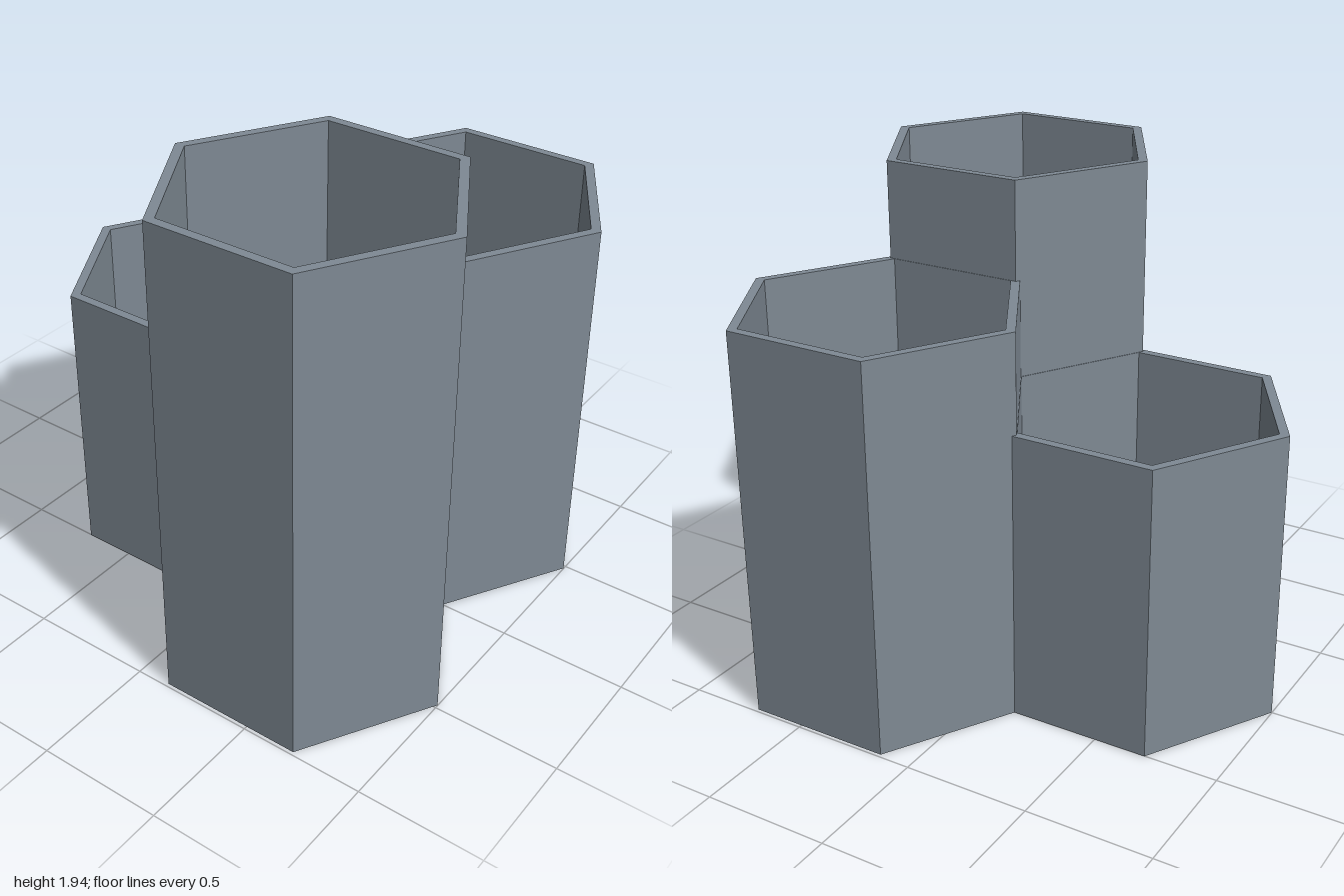
import * as THREE from 'three';

const RADIUS = 0.579; // corner radius of the outer hexagon
const INNER = 0.538;  // corner radius of the hollow
const FLOOR = 0.035;  // thickness of the base

export function createModel() {
  const group = new THREE.Group();
  group.name = 'hexagonalPenHolder';
  const slate = new THREE.MeshStandardMaterial({ color: 0x7f8a94, flatShading: true });
  slate.name = 'slate grey';

  // Open six-sided cup with a corner facing front and back
  function addCup(name, x, z, height) {
    const profile = [
      [0, 0], [RADIUS, 0], [RADIUS, height],
      [INNER, height], [INNER, FLOOR], [0, FLOOR],
    ].map(([r, y]) => new THREE.Vector2(r, y));
    const cup = new THREE.Mesh(new THREE.LatheGeometry(profile, 6), slate);
    cup.name = name;
    cup.position.set(x, 0, z);
    group.add(cup);
  }

  // Three cups of stepped height whose neighbouring walls overlap
  addCup('tallCup', -0.485, 0.42, 1.94);
  addCup('mediumCup', 0.485, 0.42, 1.55);
  addCup('shortCup', 0, -0.42, 1.16);
  return group;
}
